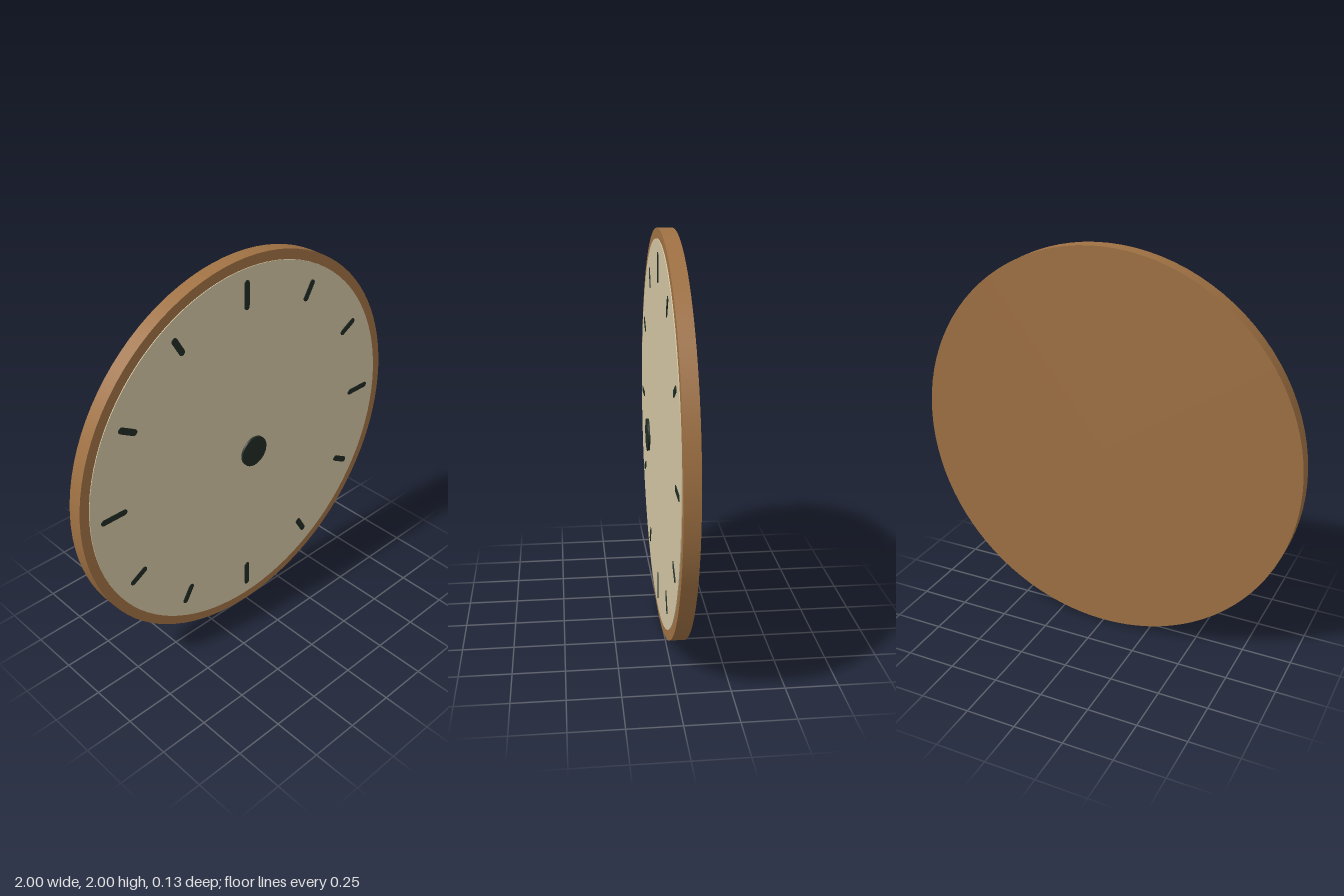
import * as THREE from 'three';

export function createModel() {
  const clock = new THREE.Group();
  clock.name = 'wallClock';

  const wood = new THREE.MeshStandardMaterial({ color: 0x9f7143 });
  wood.name = 'wood brown';
  const cream = new THREE.MeshStandardMaterial({ color: 0xd2c5a3 });
  cream.name = 'dial cream';
  const dark = new THREE.MeshStandardMaterial({ color: 0x202c24 });
  dark.name = 'dark green';

  // Everything is laid out around the dial centre
  const dial = new THREE.Group();
  dial.name = 'dial';
  dial.position.y = 1;
  clock.add(dial);

  // Round plate facing +z, spanning back..front
  function disc(name, radius, back, front, material) {
    const geometry = new THREE.CylinderGeometry(radius, radius, front - back, 96);
    geometry.rotateX(Math.PI / 2);
    const mesh = new THREE.Mesh(geometry, material);
    mesh.name = name;
    mesh.position.z = (back + front) / 2;
    dial.add(mesh);
  }
  disc('case', 1, -0.067, 0.006, wood);
  disc('face', 0.95, 0.003, 0.01, cream);
  // The centre cap floats in front of the face
  disc('centreCap', 0.08, 0.056, 0.067, dark);

  // Hour mark: thin bar with rounded ends
  function markGeometry(inner, outer, width) {
    const r = width / 2;
    const shape = new THREE.Shape();
    shape.absarc(0, outer - r, r, 0, Math.PI, false);
    shape.absarc(0, inner + r, r, Math.PI, Math.PI * 2, false);
    shape.closePath();
    return new THREE.ExtrudeGeometry(shape, { depth: 0.004, bevelEnabled: false, curveSegments: 6 });
  }
  const quarterMark = markGeometry(0.747, 0.893, 0.03);
  const hourMark = markGeometry(0.765, 0.875, 0.032);
  for (let i = 0; i < 12; i++) {
    const mark = new THREE.Mesh(i % 3 === 0 ? quarterMark : hourMark, dark);
    mark.name = 'hourMark' + (i || 12);
    mark.position.z = 0.009;
    mark.rotation.z = -i * Math.PI / 6;
    dial.add(mark);
  }

  return clock;
}
